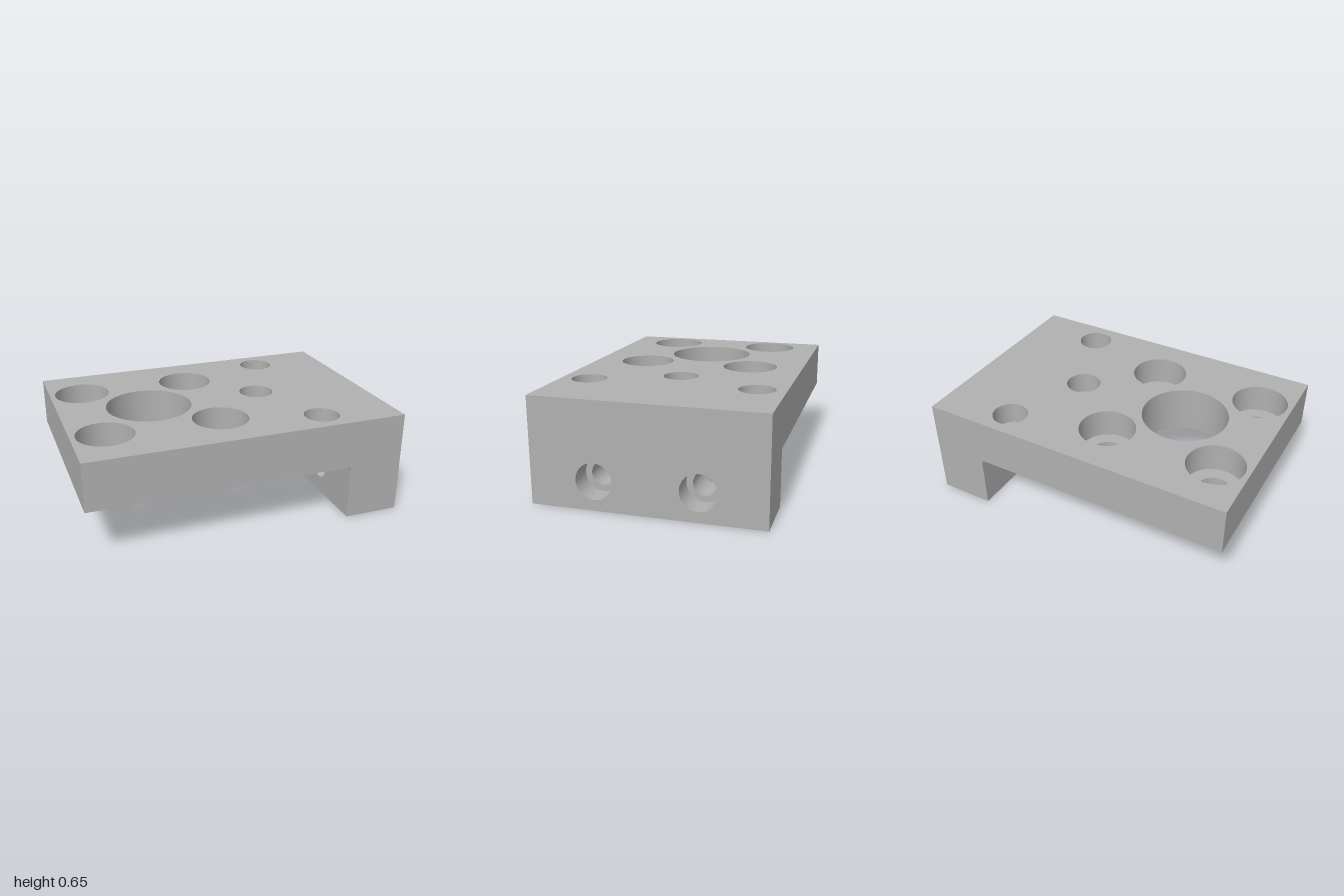
import * as THREE from 'three';

export function createModel() {
  const group = new THREE.Group();
  const grey = new THREE.MeshStandardMaterial({ color: 0xb0b0b0 });
  grey.name = 'machined grey';

  // Main dimensions
  const H = 0.65, under = 0.35, legX = 0.65, Z = 0.695, fillet = 0.025;
  const SEG = 64;

  const add = (name, geo, x = 0, y = 0, z = 0) => {
    const mesh = new THREE.Mesh(geo, grey);
    mesh.name = name;
    mesh.position.set(x, y, z);
    group.add(mesh);
    return mesh;
  };

  // Flat rectangle with round holes, each hole given as [u, v, radius]
  const panel = (u0, u1, v0, v1, holes = []) => {
    const s = new THREE.Shape();
    s.moveTo(u0, v0).lineTo(u1, v0).lineTo(u1, v1).lineTo(u0, v1).closePath();
    for (const [u, v, r] of holes) {
      s.holes.push(new THREE.Path().absarc(u, v, r, 0, Math.PI * 2, true));
    }
    return new THREE.ShapeGeometry(s, SEG);
  };

  // Surface of revolution through two profile points, wound to face inward going down
  const band = (r0, y0, r1, y1, start = 0, sweep = Math.PI * 2, seg = SEG) =>
    new THREE.LatheGeometry([new THREE.Vector2(r0, y0), new THREE.Vector2(r1, y1)], seg, start, sweep);

  // Counterbored hole, opening at y = 0 and running down to y = -length
  const bore = (name, h, length) => {
    const hole = new THREE.Group();
    hole.name = name;
    const parts = [['counterboreWall', band(h.R, 0, h.R, -h.depth)]];
    if (h.r < h.R) {
      parts.push(['counterboreFloor', band(h.R, -h.depth, h.r, -h.depth)]);
      parts.push(['throughWall', band(h.r, -h.depth, h.r, -length)]);
    }
    for (const [n, g] of parts) {
      const m = new THREE.Mesh(g, grey);
      m.name = n;
      hole.add(m);
    }
    group.add(hole);
    return hole;
  };

  // Vertical holes in the plate
  const thick = H - under;
  const large = { R: 0.175, r: 0.095, depth: 0.18 };
  const small = { R: 0.11, r: 0.072, depth: 0.14 };
  const centre = { R: 0.27, r: 0.27, depth: thick };
  const plateHoles = [{ x: -0.435, z: 0, ...centre }, { x: 0.303, z: 0, ...small }];
  for (const s of [-1, 1]) {
    plateHoles.push({ x: -0.793, z: s * 0.355, ...large });
    plateHoles.push({ x: -0.082, z: s * 0.355, ...large });
    plateHoles.push({ x: 0.52, z: s * 0.521, ...small });
  }
  for (const h of plateHoles) bore('plateHole', h, thick).position.set(h.x, H, h.z);

  // Horizontal holes through the leg
  const legHole = { R: 0.11, r: 0.072, depth: 0.145 };
  const legY = 0.175, legZ = [-0.305, 0.305];
  for (const z of legZ) {
    const hole = bore('legHole', legHole, 1 - legX);
    hole.rotation.z = -Math.PI / 2;
    hole.position.set(1, legY, z);
  }

  // Plate top and underside
  add('plateTop', panel(-1, 1, -Z, Z, plateHoles.map(h => [h.x, -h.z, h.R]))
    .rotateX(-Math.PI / 2), 0, H, 0);
  add('plateUnderside', panel(-1, legX - fillet, -Z, Z, plateHoles.map(h => [h.x, h.z, h.r]))
    .rotateX(Math.PI / 2), 0, under, 0);

  // Leg faces and plate end
  add('legOuterFace', panel(-Z, Z, 0, H, legZ.map(z => [z, legY, legHole.R]))
    .rotateY(Math.PI / 2), 1, 0, 0);
  add('legInnerFace', panel(-Z, Z, 0, under - fillet, legZ.map(z => [z, legY, legHole.r]))
    .rotateY(-Math.PI / 2), legX, 0, 0);
  add('legFoot', panel(legX, 1, -Z, Z).rotateX(Math.PI / 2));
  add('plateEnd', panel(-Z, Z, under, H).rotateY(-Math.PI / 2), -1, 0, 0);

  // Rounded inside corner between plate and leg
  add('cornerFillet', band(fillet, Z, fillet, -Z, Math.PI / 2, Math.PI / 2, 12)
    .rotateX(Math.PI / 2), legX - fillet, under - fillet, 0);

  // L-shaped front and back faces
  const side = new THREE.Shape();
  side.moveTo(-1, under).lineTo(legX - fillet, under);
  side.absarc(legX - fillet, under - fillet, fillet, Math.PI / 2, 0, true);
  side.lineTo(legX, 0).lineTo(1, 0).lineTo(1, H).lineTo(-1, H).closePath();
  add('frontFace', new THREE.ShapeGeometry(side, 12), 0, 0, Z);
  const back = new THREE.ShapeGeometry(side, 12);
  const idx = back.index.array;
  for (let i = 0; i < idx.length; i += 3) [idx[i], idx[i + 1]] = [idx[i + 1], idx[i]];
  back.computeVertexNormals();
  add('backFace', back, 0, 0, -Z);

  return group;
}
